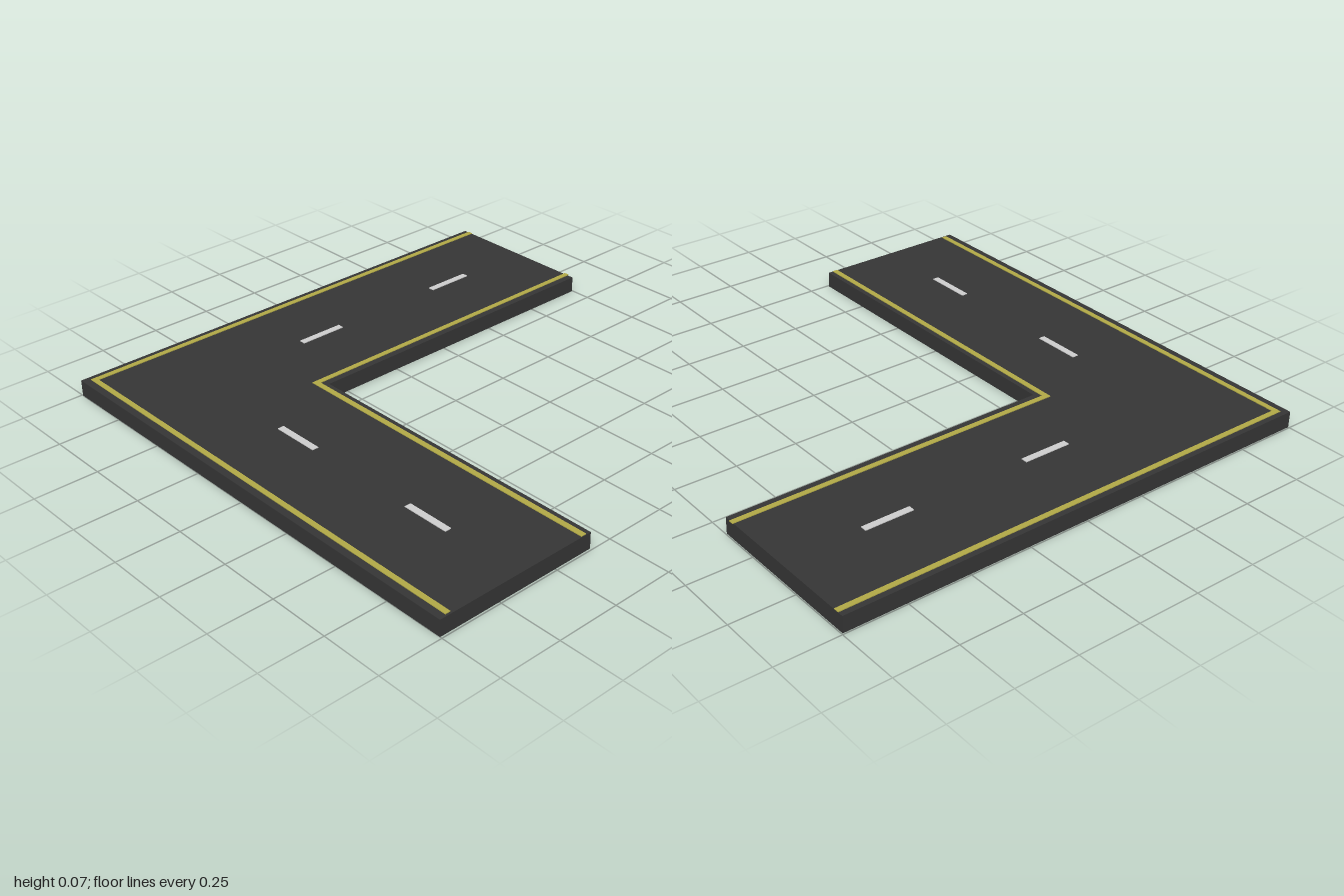
import * as THREE from 'three';

const TOP = 0.065; // height of the road surface

const asphalt = new THREE.MeshStandardMaterial({ name: 'asphalt', color: 0x353535 });
const yellowPaint = new THREE.MeshStandardMaterial({ name: 'yellowPaint', color: 0xb0a846 });
const whitePaint = new THREE.MeshStandardMaterial({ name: 'whitePaint', color: 0xcccccc });

// Extrudes a plan outline of [x, z] points upward from height y
function slab(name, points, y, height, material) {
  const shape = new THREE.Shape(points.map(([x, z]) => new THREE.Vector2(x, -z)));
  const geometry = new THREE.ExtrudeGeometry(shape, { depth: height, bevelEnabled: false });
  geometry.rotateX(-Math.PI / 2);
  geometry.translate(0, y, 0);
  const mesh = new THREE.Mesh(geometry, material);
  mesh.name = name;
  return mesh;
}

// L-shaped painted line: x0..x1 along the back arm, z0..z1 along the side arm
function edgeLine(name, x0, x1, z0, z1, backEnd, sideEnd) {
  const points = [[x0, backEnd], [x0, z1], [sideEnd, z1], [sideEnd, z0], [x1, z0], [x1, backEnd]];
  return slab(name, points, TOP, 0.003, yellowPaint);
}

export function createModel() {
  const model = new THREE.Group();
  model.name = 'roadCorner';

  // Road body
  model.add(slab('roadSlab', [
    [-0.995, -0.996], [-0.995, 1], [0.992, 1], [0.992, 0.337], [-0.335, 0.337], [-0.335, -0.996],
  ], 0, TOP, asphalt));

  // Yellow edge lines
  model.add(edgeLine('outerEdgeLine', -0.973, -0.952, 0.95, 0.971, -0.996, 0.984));
  model.add(edgeLine('innerEdgeLine', -0.383, -0.362, 0.357, 0.379, -1, 0.99));

  // White centre dashes, two on each arm
  const dashes = [
    [-0.663, -0.58, false], [-0.663, 0.106, false],
    [-0.109, 0.665, true], [0.571, 0.665, true],
  ];
  for (const [x, z, alongX] of dashes) {
    const geometry = new THREE.BoxGeometry(alongX ? 0.197 : 0.026, 0.003, alongX ? 0.026 : 0.197);
    const dash = new THREE.Mesh(geometry, whitePaint);
    dash.name = 'centreDash';
    dash.position.set(x, TOP + 0.0015, z);
    model.add(dash);
  }
  return model;
}
